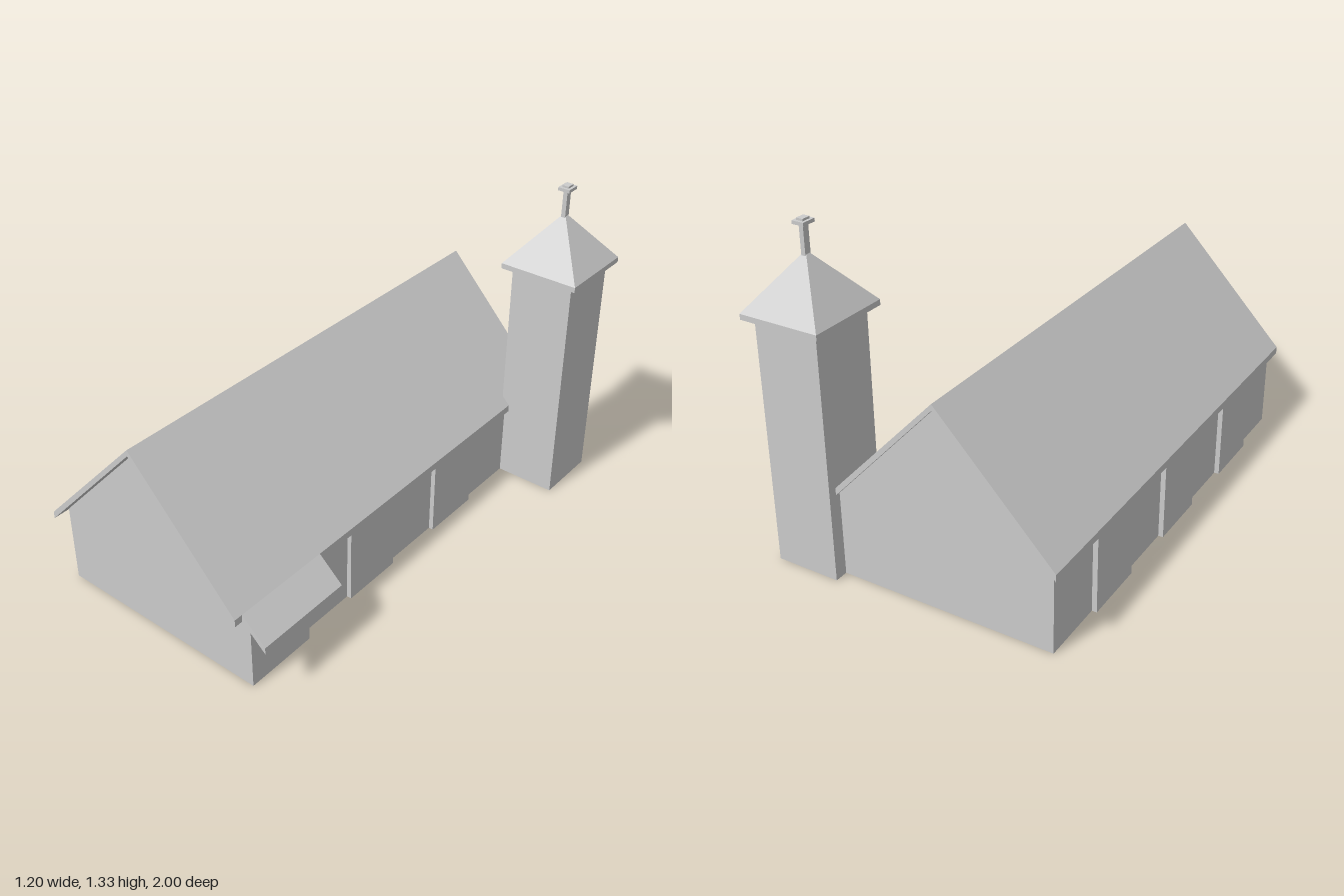
import * as THREE from 'three';

const mat = new THREE.MeshStandardMaterial({ color: 0xcccccc, flatShading: true });

export function createModel() {
  const model = new THREE.Group();

  const add = (name, geometry) => {
    const mesh = new THREE.Mesh(geometry, mat);
    mesh.name = name;
    model.add(mesh);
    return mesh;
  };

  // Outline in x, y pulled along z from z0 to z1
  const prism = (name, points, z0, z1) => {
    const shape = new THREE.Shape(points.map(([x, y]) => new THREE.Vector2(x, y)));
    const geometry = new THREE.ExtrudeGeometry(shape, { depth: z1 - z0, bevelEnabled: false });
    return add(name, geometry.translate(0, 0, z0));
  };

  // Box with its base at height y0
  const block = (name, x, z, w, d, y0, y1) =>
    add(name, new THREE.BoxGeometry(w, y1 - y0, d).translate(x, (y0 + y1) / 2, z));

  // Nave with gable ends
  prism('naveWalls', [
    [-0.58, 0], [0.314, 0], [0.314, 0.331], [-0.133, 0.808], [-0.58, 0.331],
  ], -0.91, 0.945);

  // Gabled roof
  prism('naveRoof', [
    [-0.6, 0.31], [-0.133, 0.808], [0.333, 0.31],
    [0.333, 0.34], [-0.133, 0.833], [-0.6, 0.34],
  ], -0.93, 1);

  // Projecting wall bays, staggered between the two sides
  for (const [z0, z1] of [[-0.645, -0.38], [-0.115, 0.15], [0.415, 0.68]]) {
    prism('wallBayRight', [[-0.6, 0], [-0.57, 0], [-0.57, 0.335], [-0.6, 0.312]], z0, z1);
  }
  for (const [z0, z1] of [[-0.42, -0.16], [0.11, 0.375]]) {
    prism('wallBayLeft', [[0.3, 0], [0.333, 0], [0.333, 0.312], [0.3, 0.335]], z0, z1);
  }

  // Side porch with its lean-to roof
  prism('porchWall', [[0.3, 0], [0.35, 0], [0.35, 0.297], [0.3, 0.34]], 0.64, 0.945);
  prism('porchRoof', [
    [0.3, 0.342], [0.435, 0.22], [0.435, 0.248], [0.333, 0.34], [0.3, 0.374],
  ], 0.555, 0.965);

  // Bell tower
  const tx = 0.433, tz = -0.828;
  block('towerShaft', tx, tz, 0.267, 0.272, 0, 0.99);
  block('towerEaves', tx, tz, 0.333, 0.34, 0.985, 1.007);

  // Four-sided spire, its corners turned to line up with the tower
  const spire = new THREE.CylinderGeometry(0.012 * Math.SQRT1_2, Math.SQRT1_2, 0.205, 4, 1);
  spire.rotateY(Math.PI / 4).scale(0.333, 1, 0.34).translate(tx, 1.007 + 0.1025, tz);
  add('spire', spire);

  // Finial
  block('finialPost', tx, tz, 0.018, 0.027, 1.19, 1.315);
  block('finialPlate', tx, tz, 0.05, 0.058, 1.311, 1.324);
  block('finialTop', tx, tz, 0.028, 0.036, 1.324, 1.332);

  return model;
}
